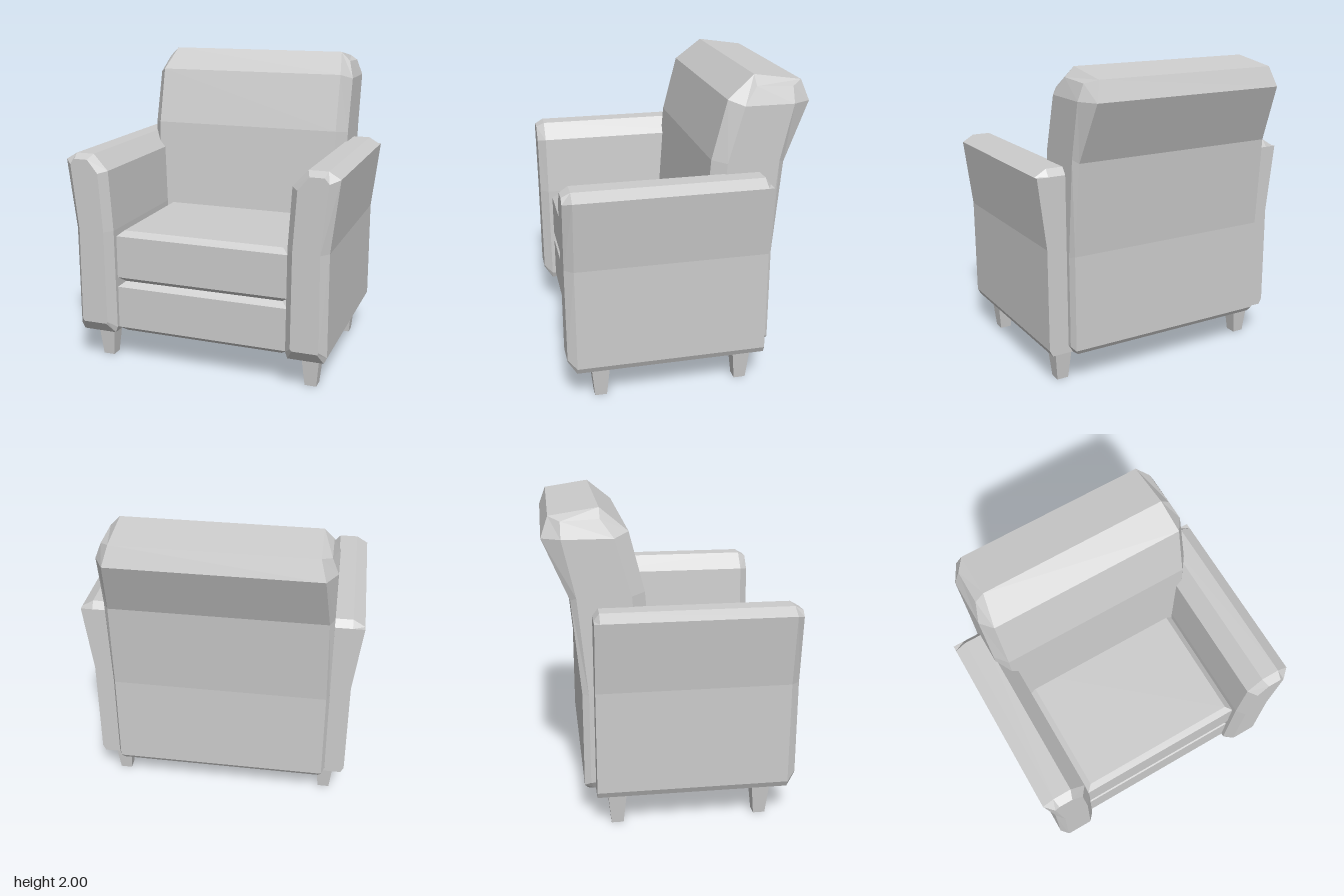
import * as THREE from 'three';

const material = new THREE.MeshStandardMaterial({ color: 0xcccccc, flatShading: true });

// Closed faceted solid from rings of equal length; each end cap is a strip
// pairing ring point i with point n-1-i.
function loft(name, rings) {
  const n = rings[0].length;
  const tris = [];
  const quad = (a, b, c, d) => tris.push([a, b, c], [a, c, d]);
  for (let r = 0; r < rings.length - 1; r++) {
    for (let i = 0; i < n; i++) {
      const j = (i + 1) % n;
      quad(rings[r][i], rings[r][j], rings[r + 1][j], rings[r + 1][i]);
    }
  }
  const first = rings[0];
  const last = rings[rings.length - 1];
  for (let i = 0; i < n / 2 - 1; i++) {
    quad(first[i + 1], first[i], first[n - 1 - i], first[n - 2 - i]);
    quad(last[i], last[i + 1], last[n - 2 - i], last[n - 1 - i]);
  }
  // Turn every face outward whichever way the rings run
  const v = (p) => new THREE.Vector3(...p);
  const volume = tris.reduce((sum, [a, b, c]) => sum + v(a).dot(v(b).cross(v(c))), 0);
  if (volume < 0) tris.forEach((t) => t.reverse());

  const geometry = new THREE.BufferGeometry();
  geometry.setAttribute('position', new THREE.Float32BufferAttribute(tris.flat(2), 3));
  geometry.computeVertexNormals();
  const mesh = new THREE.Mesh(geometry, material);
  mesh.name = name;
  return mesh;
}

const rect = (x0, x1, y, z0, z1) => [[x0, y, z0], [x1, y, z0], [x1, y, z1], [x0, y, z1]];

// Block with bevelled top and bottom rims
function cushion(name, halfX, y0, y1, z0, z1, bevel, drop) {
  const inner = (y) => rect(-halfX + bevel, halfX - bevel, y, z0 + bevel, z1 - bevel);
  const outer = (y) => rect(-halfX, halfX, y, z0, z1);
  return loft(name, [inner(y0), outer(y0 + drop), outer(y1 - drop), inner(y1)]);
}

// Flared arm: one x/y section run along z, with a bevelled front
function arm(name, side) {
  const section = [
    [0.59, 0.22], [0.575, 0.26], [0.58, 0.92], [0.605, 1.31], [0.7, 1.415],
    [0.82, 1.415], [0.895, 1.37], [0.84, 0.92], [0.84, 0.26], [0.82, 0.22],
  ];
  const front = [
    [0.63, 0.295], [0.62, 0.31], [0.625, 0.92], [0.65, 1.3], [0.72, 1.385],
    [0.81, 1.385], [0.84, 1.35], [0.795, 0.92], [0.8, 0.31], [0.79, 0.295],
  ];
  const at = (points, z, top = 2) => points.map(([x, y]) => [side * x, Math.min(y, top), z]);
  return loft(name, [at(section, -0.49, 1.37), at(section, -0.455), at(section, 0.72), at(front, 0.775)]);
}

// Backrest: eight-sided levels, each given by its left half as
// front, side front, side back, back corners
function backrest() {
  const levels = [
    [[0.63, 0.22, -0.13], [0.68, 0.22, -0.2], [0.68, 0.22, -0.5], [0.67, 0.22, -0.54]],
    [[0.645, 0.27, -0.115], [0.71, 0.27, -0.2], [0.71, 0.27, -0.52], [0.69, 0.25, -0.56]],
    [[0.645, 0.87, -0.115], [0.71, 0.86, -0.2], [0.71, 0.86, -0.52], [0.69, 0.87, -0.56]],
    [[0.645, 1.49, -0.165], [0.71, 1.48, -0.25], [0.71, 1.48, -0.58], [0.68, 1.46, -0.615]],
    [[0.645, 1.86, -0.26], [0.71, 1.83, -0.35], [0.71, 1.83, -0.66], [0.645, 1.83, -0.775]],
    [[0.61, 2, -0.43], [0.67, 1.94, -0.43], [0.67, 1.93, -0.66], [0.61, 1.955, -0.73]],
  ];
  const mirror = ([x, y, z]) => [-x, y, z];
  return loft('backrest', levels.map(([f, sf, sb, b]) => [
    sf, f, mirror(f), mirror(sf), mirror(sb), mirror(b), b, sb,
  ]));
}

// Square leg tapering to the floor
function leg(name, x, z) {
  const ring = (y, h) => rect(x - h, x + h, y, z - h, z + h);
  return loft(name, [ring(0, 0.038), ring(0.225, 0.06)]);
}

export function createModel() {
  const model = new THREE.Group();
  model.name = 'armchair';
  model.add(
    cushion('seatBase', 0.575, 0.22, 0.565, -0.5, 0.695, 0.04, 0.033),
    cushion('seatCushion', 0.575, 0.565, 0.91, -0.3, 0.695, 0.04, 0.033),
    backrest(),
  );
  for (const [label, side] of [['left', 1], ['right', -1]]) {
    model.add(
      arm(`${label}Arm`, side),
      leg(`${label}FrontLeg`, side * 0.71, 0.565),
      leg(`${label}BackLeg`, side * 0.71, -0.36),
    );
  }
  return model;
}
